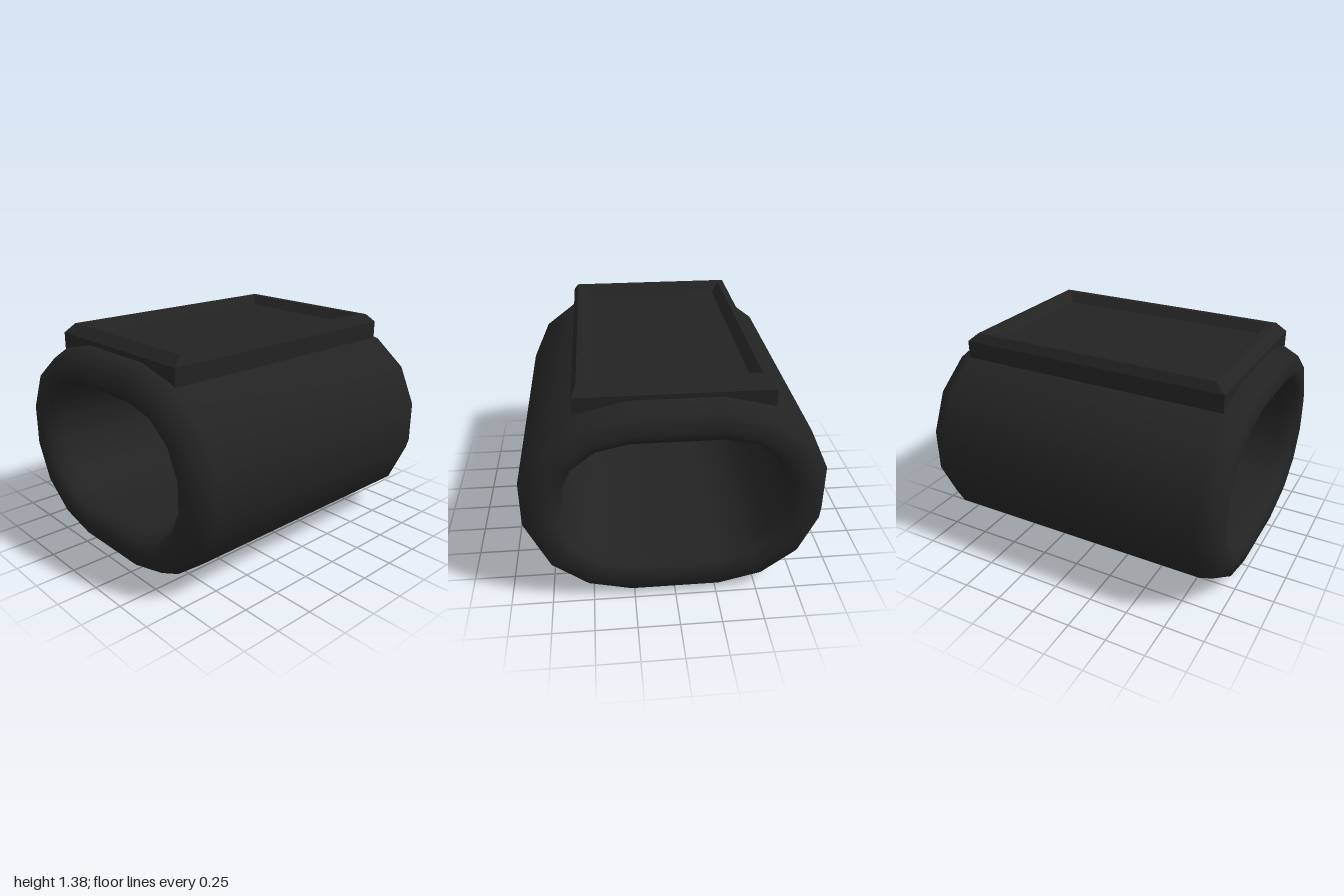
import * as THREE from 'three';

// Skin a list of equal-length rings of [x, y, z] points
function loft(rings, closed) {
  const n = rings[0].length, m = rings.length, index = [];
  for (let i = 0; i < (closed ? m : m - 1); i++) {
    for (let j = 0; j < n; j++) {
      const a = i * n + j, b = i * n + (j + 1) % n;
      const c = ((i + 1) % m) * n + j, d = ((i + 1) % m) * n + (j + 1) % n;
      index.push(a, b, d, a, d, c);
    }
  }
  const g = new THREE.BufferGeometry();
  g.setAttribute('position', new THREE.Float32BufferAttribute(rings.flat(2), 3));
  g.setIndex(index);
  return g;
}

// Mirror one quadrant of [z, y] points into a full 16-sided oval
function oval(q) {
  const r = [...q].reverse();
  return [
    ...q,
    ...r.map(([z, y]) => [z, -y]),
    ...q.map(([z, y]) => [-z, -y]),
    ...r.map(([z, y]) => [-z, y]),
  ];
}

export function createModel() {
  const group = new THREE.Group();
  const black = new THREE.MeshStandardMaterial({ color: 0x232323 });
  black.name = 'charcoal';
  const add = (name, geometry) => {
    const mesh = new THREE.Mesh(geometry, black);
    mesh.name = name;
    group.add(mesh);
    return mesh;
  };

  // Hollow oval sleeve with rounded rims, smooth all over
  const outer = oval([[0.27, 0.65], [0.55, 0.58], [0.78, 0.405], [0.9, 0.145]]);
  const inner = oval([[0.27, 0.405], [0.44, 0.365], [0.58, 0.255], [0.66, 0.085]]);
  const rim = [[0.87, 0], [0.975, 0.2], [1, 0.62], [0.965, 0.88], [0.87, 1]]; // [x, wall depth]
  const section = [...rim, ...rim.map(([x, t]) => [-x, t]).reverse()];
  const sleeve = loft(section.map(([x, t]) => outer.map(([z, y], i) => [
    x,
    0.65 + THREE.MathUtils.lerp(y, inner[i][1], t),
    THREE.MathUtils.lerp(z, inner[i][0], t),
  ])), true);
  sleeve.computeVertexNormals();
  add('sleeve', sleeve);

  // Bevelled frame with a sloping recess, hard edges
  const steps = [
    [0.87, 1.2, 0.565], [0.87, 1.33, 0.565], [0.805, 1.385, 0.535],
    [0.765, 1.385, 0.495], [0.715, 1.325, 0.447],
  ];
  const frame = loft(steps.map(([x, y, z]) => [[-x, y, z], [x, y, z], [x, y, -z], [-x, y, -z]]), false).toNonIndexed();
  frame.computeVertexNormals();
  add('screenFrame', frame);

  // Flat screen at the bottom of the recess
  const screen = add('screen', new THREE.PlaneGeometry(1.43, 0.894));
  screen.rotation.x = -Math.PI / 2;
  screen.position.y = 1.325;

  return group;
}
